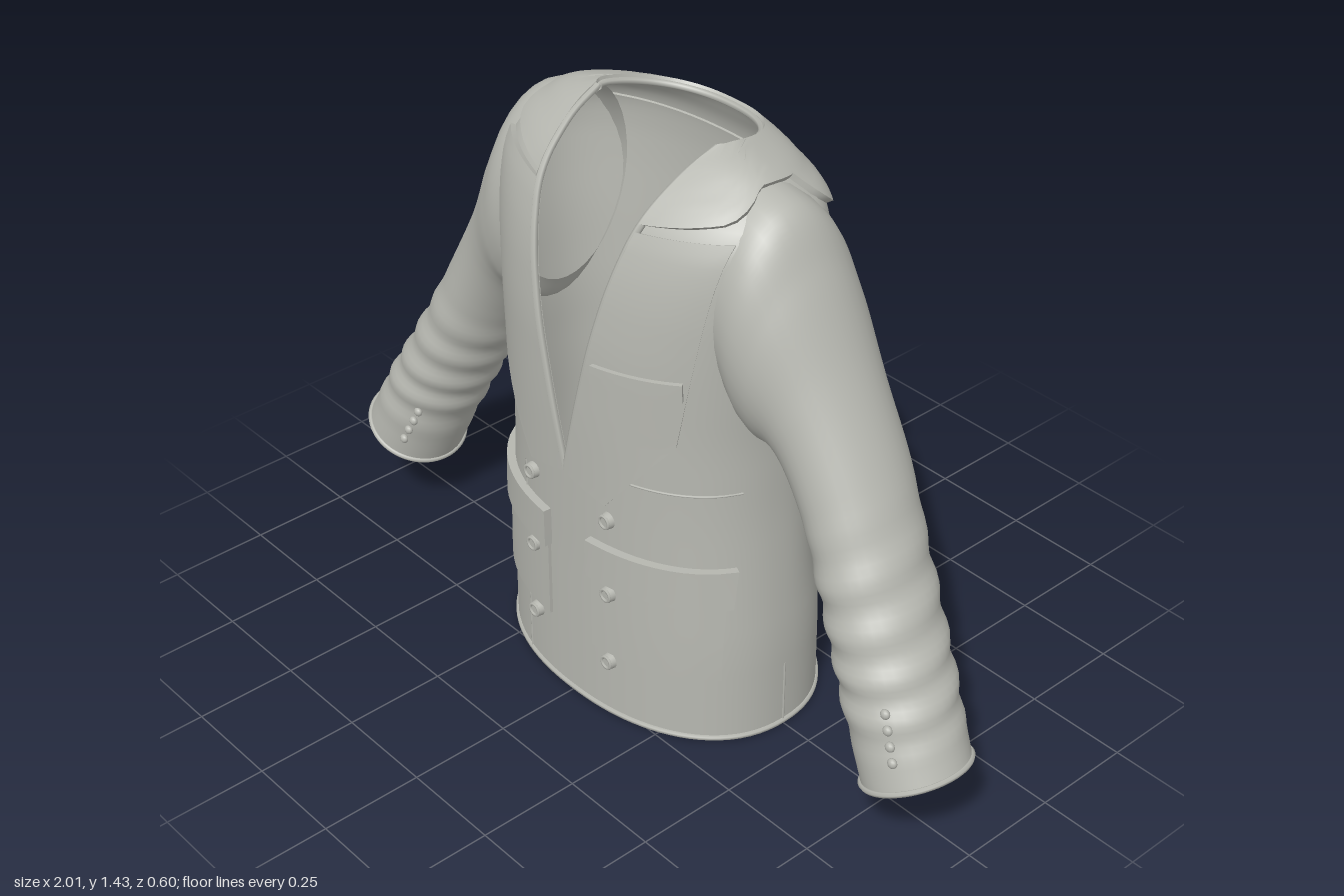
import * as THREE from 'three';
import { mergeVertices, toCreasedNormals } from 'three/addons/utils/BufferGeometryUtils.js';

const cloth = new THREE.MeshStandardMaterial({ color: 0xb6b7b0, side: THREE.DoubleSide });
cloth.name = 'greyCloth';
const TOP = 1.42, V_LOW = 0.64, POW = 0.91;

// Torso rows: height, half width, front z, back z
const ROWS = [
  [0, 0.415, 0.285, -0.29], [0.25, 0.415, 0.285, -0.285], [0.4, 0.405, 0.285, -0.252],
  [0.6, 0.39, 0.287, -0.245], [0.8, 0.385, 0.29, -0.245], [1.0, 0.4, 0.288, -0.252],
  [1.15, 0.42, 0.27, -0.255], [1.25, 0.43, 0.24, -0.25], [1.31, 0.42, 0.215, -0.24],
  [1.36, 0.385, 0.16, -0.228], [1.395, 0.31, 0.1, -0.215], [TOP, 0.2, 0.06, -0.2],
];

// Piecewise linear lookup of a table keyed by its first column
function lookup(table, k) {
  let i = 1;
  while (i < table.length - 1 && table[i][0] < k) i++;
  const p = table[i - 1], q = table[i];
  const t = THREE.MathUtils.clamp((k - p[0]) / (q[0] - p[0]), 0, 1);
  return p.slice(1).map((v, j) => v + (q[j + 1] - v) * t);
}

// Smoothed torso row at height y
function row(y) {
  const w = Math.max(0, Math.min(0.05, TOP - y, y)), sum = [0, 0, 0];
  for (let k = -2; k <= 2; k++) lookup(ROWS, y + (k * w) / 2).forEach((v, j) => (sum[j] += v / 5));
  return sum;
}

const spow = (v) => Math.sign(v) * Math.pow(Math.abs(v), POW);
const angleAt = (x, y) => Math.sign(x) * Math.asin(Math.pow(Math.min(1, Math.abs(x) / row(y)[0]), 1 / POW));
const neckX = (y) => Math.max(0, (0.19 * (y - V_LOW)) / (TOP - V_LOW));
const neckAngle = (y) => angleAt(neckX(y), y);

// Point on the torso: angle 0 is the front, PI the back
function torso(angle, y) {
  const [a, front, back] = row(y);
  const c = Math.cos(angle);
  const drop = 0.045 * THREE.MathUtils.smoothstep(y, 1.25, TOP) * Math.max(0, -c);
  return new THREE.Vector3(a * spow(Math.sin(angle)), y - drop, spow(c) * (c > 0 ? front : -back));
}

// Point lifted off the torso along its normal
function lifted(angle, y, off) {
  const e = 0.01;
  const du = torso(angle + e, y).sub(torso(angle - e, y));
  const dv = torso(angle, Math.min(TOP, y + e)).sub(torso(angle, y - e));
  return torso(angle, y).addScaledVector(du.cross(dv).normalize(), off);
}

// Surface from a point function of grid indices
function grid(nu, nv, fn) {
  const pos = [], idx = [];
  for (let j = 0; j <= nv; j++) for (let i = 0; i <= nu; i++) pos.push(...fn(i, j).toArray());
  for (let j = 0; j < nv; j++) {
    for (let i = 0; i < nu; i++) {
      const p = j * (nu + 1) + i, q = p + nu + 1;
      idx.push(p, p + 1, q + 1, p, q + 1, q);
    }
  }
  let g = new THREE.BufferGeometry();
  g.setAttribute('position', new THREE.Float32BufferAttribute(pos, 3));
  g.setIndex(idx);
  g = mergeVertices(g, 1e-5);
  g.computeVertexNormals();
  return g;
}

// Raised cloth panel on the torso; at(u, v) returns [angle, y]
function panel(nu, nv, off, at) {
  const g = grid(nu + 2, nv + 2, (i, j) => {
    const edge = i === 0 || j === 0 || i === nu + 2 || j === nv + 2;
    const u = THREE.MathUtils.clamp((i - 1) / nu, 0, 1), v = THREE.MathUtils.clamp((j - 1) / nv, 0, 1);
    const [angle, y] = at(u, v);
    return lifted(angle, y, edge ? -0.006 : off);
  });
  return toCreasedNormals(g, 0.7);
}

// Four-sided panel given by left/right x, bottom/top y and a slant
function rectPanel(x0, x1, y0, y1, off, slant = 0) {
  return panel(12, 6, off, (u, v) => {
    const x = x0 + (x1 - x0) * u, y = y0 + (y1 - y0) * v + slant * (u - 0.5);
    return [angleAt(x, y), y];
  });
}

function cord(points, radius, closed = false) {
  return new THREE.TubeGeometry(new THREE.CatmullRomCurve3(points, closed), points.length * 2, radius, 6, closed);
}
const sample = (n, fn) => Array.from({ length: n + 1 }, (_, i) => fn(i / n));

// Sleeve edges: outer (x, y, centre z) and inner (x, y, half depth)
const vecs = (list) => new THREE.CatmullRomCurve3(list.map((p) => new THREE.Vector3(...p)));
const OUTER = vecs([[0.29, 1.39, 0], [0.4, 1.355, 0], [0.475, 1.24, -0.005], [0.575, 1.04, -0.012],
  [0.685, 0.84, -0.01], [0.78, 0.66, 0.01], [0.865, 0.51, 0.03], [0.935, 0.39, 0.048], [0.997, 0.27, 0.065]]);
const INNER = vecs([[0.34, 0.87, 0.165], [0.375, 0.81, 0.175], [0.395, 0.8, 0.17], [0.43, 0.8, 0.15],
  [0.5, 0.715, 0.14], [0.575, 0.58, 0.135], [0.635, 0.46, 0.132], [0.69, 0.345, 0.128], [0.775, 0.165, 0.124]]);

function sleeve(side, t, theta) {
  const o = OUTER.getPoint(t), n = INNER.getPoint(t);
  const mask = THREE.MathUtils.smoothstep(t, 0.5, 0.65) * (1 - THREE.MathUtils.smoothstep(t, 0.88, 0.97));
  const fold = 1 + 0.035 * mask * Math.sin(t * 75 + 1.5 * Math.sin(theta));
  const c = Math.cos(theta) * fold, s = Math.sin(theta) * fold;
  return new THREE.Vector3(
    side * ((o.x + n.x) / 2 + ((o.x - n.x) / 2) * c),
    (o.y + n.y) / 2 + ((o.y - n.y) / 2) * c,
    o.z - side * n.z * s);
}

export function createModel() {
  const model = new THREE.Group();
  model.name = 'jacket';
  const add = (name, geometry) => {
    const m = new THREE.Mesh(geometry, cloth);
    m.name = name;
    model.add(m);
    return m;
  };

  // Torso shell with its V opening
  add('torso', grid(80, 71, (i, j) => {
    const y = (TOP * j) / 71, a = neckAngle(y);
    return torso(a + ((2 * Math.PI - 2 * a) * i) / 80, y);
  }));
  add('hem', cord(sample(47, (t) => torso((t * 47 * 2 * Math.PI) / 48, 0.008)), 0.007, true));
  const na = neckAngle(TOP);
  add('neckBinding', cord(sample(32, (t) => torso(na + (2 * Math.PI - 2 * na) * t, TOP)), 0.008));

  // Collar around the neck
  const COLLAR = [[0, 1.295], [0.2, 1.33], [0.33, 1.38], [0.5, 1.38], [0.66, 1.3], [1, 1.275]];
  add('collar', panel(64, 8, 0.015, (u, v) => {
    const low = lookup(COLLAR, 1 - Math.abs(2 * u - 1))[0];
    const y = low + (TOP - low) * v, a = neckAngle(y);
    return [a + (2 * Math.PI - 2 * a) * u, y];
  }));

  const LAPEL = [[0, 0.125, 0.605], [0.3, 0.28, 0.81], [1, 0.355, 1.3]];
  for (const side of [1, -1]) {
    const tag = side > 0 ? 'left' : 'right';

    // Lapel and the bound edge of the opening
    add(tag + 'Lapel', panel(10, 30, 0.013, (u, v) => {
      const [ox, oy] = lookup(LAPEL, v);
      const iy = V_LOW + (1.28 - V_LOW) * v, ix = neckX(iy);
      const x = ix + (ox - ix) * u, y = iy + (oy - iy) * u;
      return [side * angleAt(x, y), y];
    }));
    add(tag + 'OpeningEdge', cord(sample(24, (t) => {
      const y = V_LOW + (TOP - V_LOW) * t;
      return lifted(side * neckAngle(y), y, 0.005);
    }), 0.009));

    // Hip pocket and flap
    add(tag + 'Pocket', rectPanel(side * 0.075, side * 0.365, 0.185, 0.4, 0.008));
    add(tag + 'PocketFlap', rectPanel(side * 0.07, side * 0.372, 0.388, 0.488, 0.02));

    // Front buttons with a raised rim
    for (const y of [0.565, 0.36, 0.165]) {
      const p = lifted(angleAt(side * 0.128, y), y, 0.012);
      add(tag + 'Button', new THREE.CylinderGeometry(0.018, 0.02, 0.014, 20).rotateX(Math.PI / 2)).position.copy(p);
      add(tag + 'ButtonRim', new THREE.TorusGeometry(0.015, 0.004, 6, 20)).position.set(p.x, p.y, p.z + 0.007);
    }

    // Sleeve, cuff rim and cuff buttons
    add(tag + 'Sleeve', grid(36, 72, (i, j) => sleeve(side, j / 72, (i / 36) * 2 * Math.PI)));
    add(tag + 'CuffRim', cord(sample(31, (t) => sleeve(side, 1, (t * 31 * 2 * Math.PI) / 32)), 0.007, true));
    for (let k = 0; k < 4; k++) {
      const x = side > 0 ? 0.87 + 0.014 * k : -0.75 - 0.016 * k;
      const y = (side > 0 ? 0.41 : 0.355) - 0.033 * k;
      const b = add(tag + 'CuffButton', new THREE.SphereGeometry(0.012, 12, 8));
      b.position.set(x, y, 0.158 + 0.005 * k);
      b.scale.z = 0.8;
    }

    // Waist, back vent and side seams
    add(tag + 'WaistSeam', cord(sample(10, (t) => lifted(angleAt(side * (0.14 + 0.23 * t), 0.68), 0.68, 0)), 0.003));
    add(tag + 'BackVent', cord(sample(10, (t) => lifted(Math.PI - side * 0.62, 0.02 + 0.38 * t, 0)), 0.004));
    add(tag + 'SideSeam', cord(sample(6, (t) => lifted((side * Math.PI) / 2, 0.01 + 0.17 * t, 0)), 0.003));
  }

  // Breast pocket, front closing and centre back seam
  add('breastPocket', rectPanel(0.1, 0.295, 0.93, 0.975, 0.024, 0.015));
  add('frontClosing', cord(sample(12, (t) => lifted(angleAt(-0.18, 0.55 * t), 0.01 + 0.55 * t, 0)), 0.003));
  add('backSeam', cord(sample(16, (t) => lifted(Math.PI, 0.02 + 1.1 * t, 0)), 0.003));
  return model;
}
